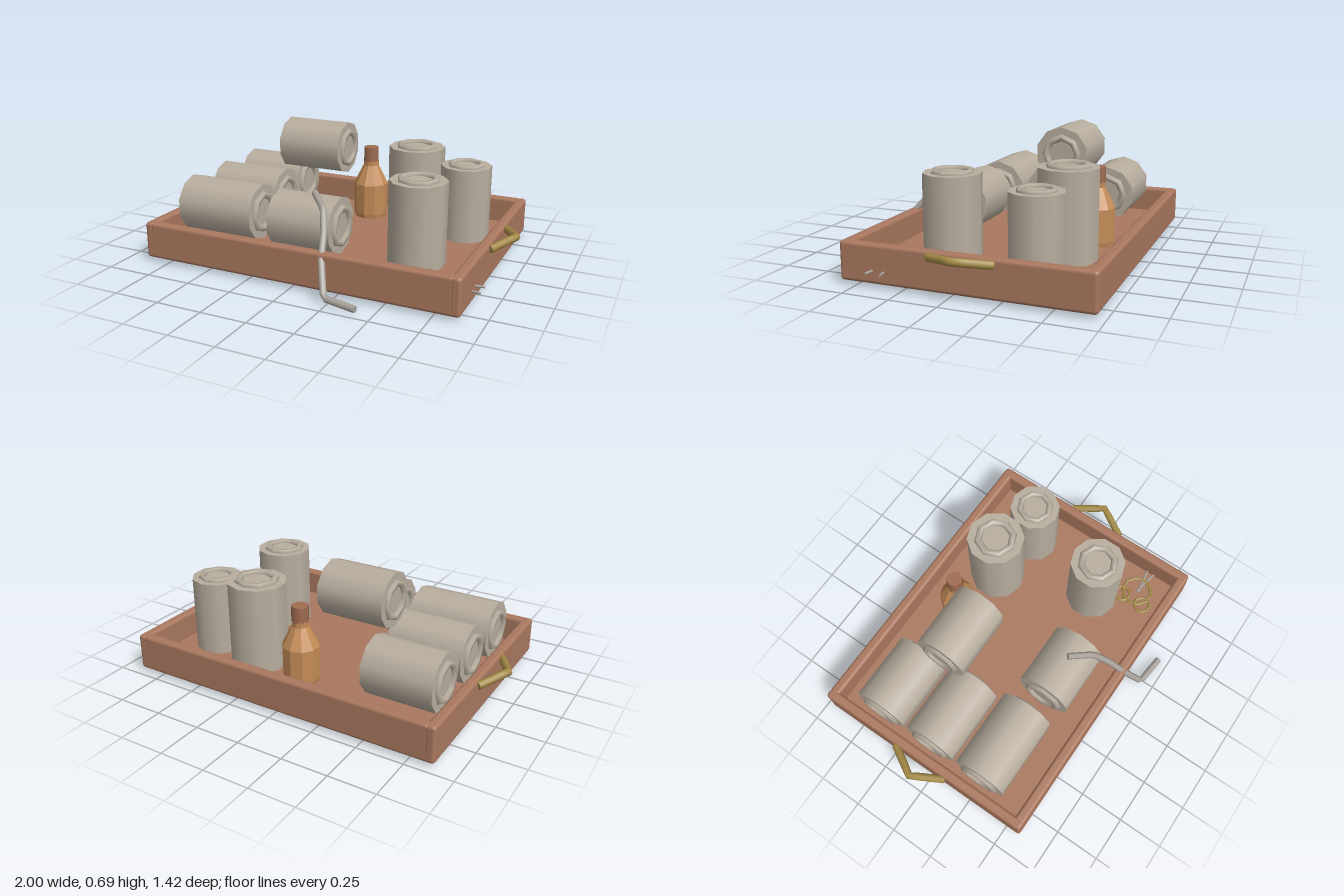
import * as THREE from 'three';
import { RoundedBoxGeometry } from 'three/addons/geometries/RoundedBoxGeometry.js';

const mat = (name, color, extra = {}) => {
  const m = new THREE.MeshStandardMaterial({ color, ...extra });
  m.name = name;
  return m;
};

export function createModel() {
  const root = new THREE.Group();
  root.name = 'supplyTray';
  const wood = mat('trayWood', 0xaa785f);
  const cloth = mat('rollCloth', 0xb8ae9f);
  const amber = mat('bottleAmber', 0xc48c57, { flatShading: true });
  const cork = mat('bottleStopper', 0xa06c52);
  const brass = mat('brass', 0xa38a45);
  const steel = mat('steel', 0xaaa49c);

  const add = (name, geometry, material, parent = root, pos = [0, 0, 0]) => {
    const mesh = new THREE.Mesh(geometry, material);
    mesh.name = name;
    mesh.position.set(...pos);
    parent.add(mesh);
    return mesh;
  };

  // Angular tube along straight segments, closed by end discs
  const rod = (name, points, radius, material, sides = 6, steps = 6) => {
    const pts = points.map(p => new THREE.Vector3(...p));
    const path = new THREE.CurvePath();
    for (let i = 1; i < pts.length; i++) path.add(new THREE.LineCurve3(pts[i - 1], pts[i]));
    const group = new THREE.Group();
    group.name = name;
    root.add(group);
    add(name + 'Shaft', new THREE.TubeGeometry(path, steps, radius, sides), material, group);
    [0, 1].forEach(t => {
      const dir = path.getTangentAt(t).multiplyScalar(t ? 1 : -1);
      const cap = add(name + 'End', new THREE.CircleGeometry(radius, sides), material, group);
      cap.position.copy(path.getPointAt(t));
      cap.quaternion.setFromUnitVectors(new THREE.Vector3(0, 0, 1), dir);
    });
  };

  // Tray: bevelled floor slab and four walls
  const box = (name, w, h, d, pos) =>
    add(name, new RoundedBoxGeometry(w, h, d, 2, 0.018), wood, root, pos);
  box('trayFloor', 1.77, 0.057, 1.3, [0, 0.0485, -0.065]);
  for (const s of [-1, 1]) {
    box('sideWall', 0.055, 0.2, 1.3, [s * 0.857, 0.12, -0.065]);
    box(s > 0 ? 'frontWall' : 'backWall', 1.70, 0.2, 0.058, [0, 0.12, -0.065 + s * 0.621]);
    // Bent brass handle
    rod('handle', [[s * 0.885, 0.19, 0.1], [s * 0.978, 0.215, -0.065], [s * 0.885, 0.19, -0.23]],
      0.021, brass, 8, 8);
  }

  // Cloth roll: ten-sided body with an eight-sided ring on each end
  const roll = (name, r, length) => {
    const g = new THREE.Group();
    g.name = name;
    add('rollBody', new THREE.CylinderGeometry(r, r, length, 10), cloth, g);
    for (const s of [-1, 1]) {
      const ring = new THREE.TorusGeometry(r * 0.62, r * 0.13, 6, 8).rotateX(Math.PI / 2);
      add('endRing', ring, cloth, g, [0, s * length / 2, 0]);
    }
    root.add(g);
    return g;
  };

  // Standing rolls: x, z, radius, top height
  for (const [x, z, r, top] of [
    [0.31, -0.39, 0.16, 0.55], [0.62, -0.337, 0.14, 0.488], [0.515, 0.15, 0.152, 0.52],
  ]) {
    roll('standingRoll', r, top - 0.075).position.set(x, (top + 0.075) / 2, z);
  }

  // Lying rolls: start x, end x, y, z, radius
  for (const [x0, x1, y, z, r] of [
    [-0.783, -0.4, 0.262, -0.395, 0.155], [-0.783, -0.37, 0.262, -0.067, 0.155],
    [-0.783, -0.335, 0.262, 0.26, 0.155], [-0.215, 0.145, 0.262, 0.285, 0.155],
    [-0.42, -0.052, 0.54, -0.23, 0.147],
  ]) {
    const g = roll('lyingRoll', r, x1 - x0);
    g.position.set((x0 + x1) / 2, y, z);
    g.rotation.set(0, Math.PI / 2, Math.PI / 2, 'ZYX');
  }

  // Bottle and stopper
  const profile = [[0, 0.075], [0.095, 0.075], [0.1, 0.1], [0.1, 0.28], [0.045, 0.39], [0.045, 0.42], [0, 0.42]];
  add('bottle', new THREE.LatheGeometry(profile.map(p => new THREE.Vector2(...p)), 10),
    amber, root, [0, 0, -0.45]);
  add('stopper', new THREE.CylinderGeometry(0.046, 0.046, 0.085, 8), cork, root, [0, 0.457, -0.45]);

  // Strap trailing over the front wall
  rod('strap', [[0, 0.425, 0.295], [0.1, 0.385, 0.4], [0.145, 0.29, 0.485], [0.175, 0.19, 0.575],
    [0.235, 0.035, 0.675], [0.41, 0.018, 0.692]], 0.018, steel, 6, 24);

  // Scissors: brass loops and crossed steel blades
  for (const [x, z, r] of [[0.62, 0.3, 0.045], [0.62, 0.435, 0.045], [0.68, 0.365, 0.085]]) {
    const loop = new THREE.TorusGeometry(r, 0.009, 6, 10).rotateX(Math.PI / 2);
    add('scissorLoop', loop, brass, root, [x, 0.088, z]);
  }
  for (const s of [-1, 1]) {
    rod('scissorBlade', [[0.68, 0.087, 0.37 - s * 0.005], [0.93, 0.087, 0.372 + s * 0.04]],
      0.007, steel, 6, 1);
  }
  return root;
}
